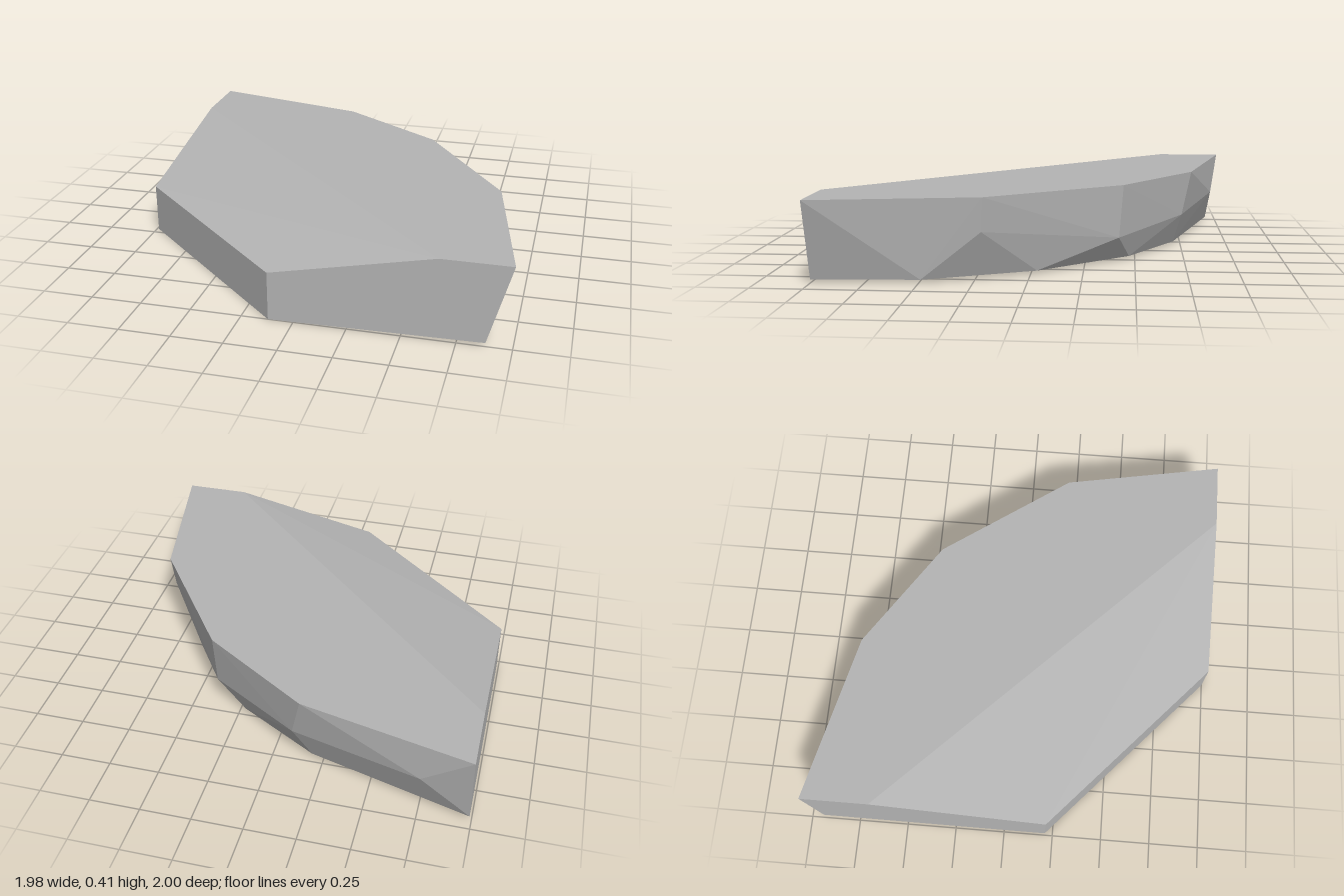
import * as THREE from 'three';
import { ConvexGeometry } from 'three/addons/geometries/ConvexGeometry.js';

export function createModel() {
  const group = new THREE.Group();
  const stone = new THREE.MeshStandardMaterial({ color: 0xb4b4b4, flatShading: true });
  stone.name = 'stoneGrey';

  // Rim of the level top: x, z
  const top = [
    [-0.99, -1], [-0.15, -0.8], [0.39, -0.44], [0.84, 0.2],
    [0.99, 1], [0.66, 1], [-0.99, -0.66],
  ].map(([x, z]) => [x, 0.405, z]);

  // Lower front corner where the top slopes away
  const slope = [[-0.12, 0.24, 1], [-0.99, 0.25, 0.21]];

  // Chipped corners halfway down the curved side
  const side = [
    [0.82, 0.24, 0.21], [0.38, 0.14, -0.42],
    [-0.1, 0.18, -0.75], [-0.75, 0.21, -0.95],
  ];

  // Outline of the base, very slightly tilted
  const base = [
    [-0.99, 0, 0.21], [-0.12, 0, 1], [0.88, 0.018, 1], [0.85, 0.018, 0.49],
    [0.6, 0.015, -0.03], [0.22, 0.015, -0.47], [-0.19, 0.015, -0.71], [-0.99, 0.018, -0.94],
  ];

  const points = [...top, ...slope, ...side, ...base].map((p) => new THREE.Vector3(...p));
  const slab = new THREE.Mesh(new ConvexGeometry(points), stone);
  slab.name = 'rockSlab';
  group.add(slab);
  return group;
}
